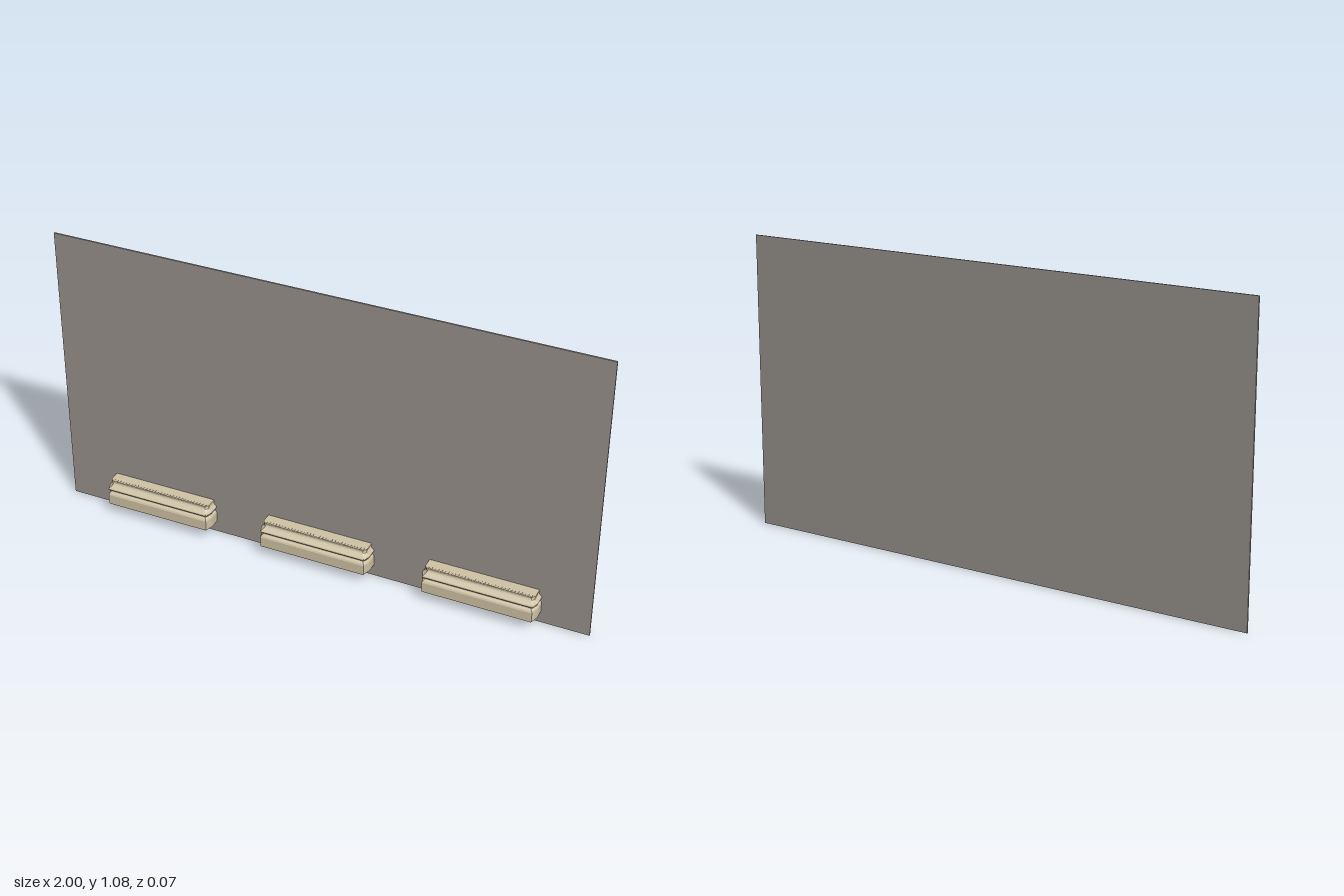
import * as THREE from 'three';

const WALL_FRONT = -0.031;

// Moulded ledge: stacked outlines with angled front corners, joined in loops
function ledgeGeometry() {
  // [height, half width, front z], from bottom to top
  const profile = [
    [0.043, 0.207, 0.036], [0.045, 0.209, 0.037], [0.082, 0.209, 0.037],
    [0.088, 0.207, 0.034], [0.093, 0.202, 0.028], [0.098, 0.201, 0.026],
    [0.101, 0.207, 0.033], [0.106, 0.209, 0.036], [0.110, 0.207, 0.034],
    [0.115, 0.202, 0.026], [0.121, 0.198, 0.019], [0.126, 0.197, 0.016],
    [0.128, 0.199, 0.020], [0.135, 0.199, 0.020],
  ];
  const outline = ([y, w, z]) => [
    [-w, y, WALL_FRONT], [-w, y, 0.007], [-w + 0.01, y, z],
    [w - 0.01, y, z], [w, y, 0.007], [w, y, WALL_FRONT],
  ];
  const rings = profile.map(outline);
  const pos = [];
  const tri = (a, b, c) => pos.push(...a, ...b, ...c);
  for (let i = 0; i < rings.length - 1; i++) {
    for (let j = 0; j < 6; j++) {
      const k = (j + 1) % 6, lo = rings[i], hi = rings[i + 1];
      tri(lo[j], lo[k], hi[k]);
      tri(lo[j], hi[k], hi[j]);
    }
  }
  const bottom = rings[0], top = rings[rings.length - 1];
  for (let j = 1; j < 5; j++) {
    tri(bottom[0], bottom[j + 1], bottom[j]);
    tri(top[0], top[j], top[j + 1]);
  }
  const g = new THREE.BufferGeometry();
  g.setAttribute('position', new THREE.Float32BufferAttribute(pos, 3));
  g.computeVertexNormals();
  return g;
}

export function createModel() {
  const model = new THREE.Group();
  const wallGrey = new THREE.MeshStandardMaterial({ name: 'wall grey', color: 0x97918b });
  const stone = new THREE.MeshStandardMaterial({ name: 'beige stone', color: 0xcfc2a5 });

  // Thin upright panel
  const wall = new THREE.Mesh(new THREE.BoxGeometry(2, 1.08, 0.006), wallGrey);
  wall.name = 'wallPanel';
  wall.position.set(0, 0.54, WALL_FRONT - 0.003);
  model.add(wall);

  // Three ledges, each with a fine row of teeth on its top edge
  const ledgeGeo = ledgeGeometry();
  const toothGeo = new THREE.BoxGeometry(0.006, 0.003, 0.011);
  for (const x of [-0.615, 0, 0.615]) {
    const ledge = new THREE.Group();
    ledge.name = 'ledge';
    ledge.position.x = x;
    const body = new THREE.Mesh(ledgeGeo, stone);
    body.name = 'ledgeMoulding';
    ledge.add(body);
    const teeth = 32;
    for (let i = 0; i < teeth; i++) {
      const tooth = new THREE.Mesh(toothGeo, stone);
      tooth.name = 'ledgeTooth';
      tooth.position.set((i - (teeth - 1) / 2) * 0.012, 0.1355, 0.0135);
      ledge.add(tooth);
    }
    model.add(ledge);
  }
  return model;
}
